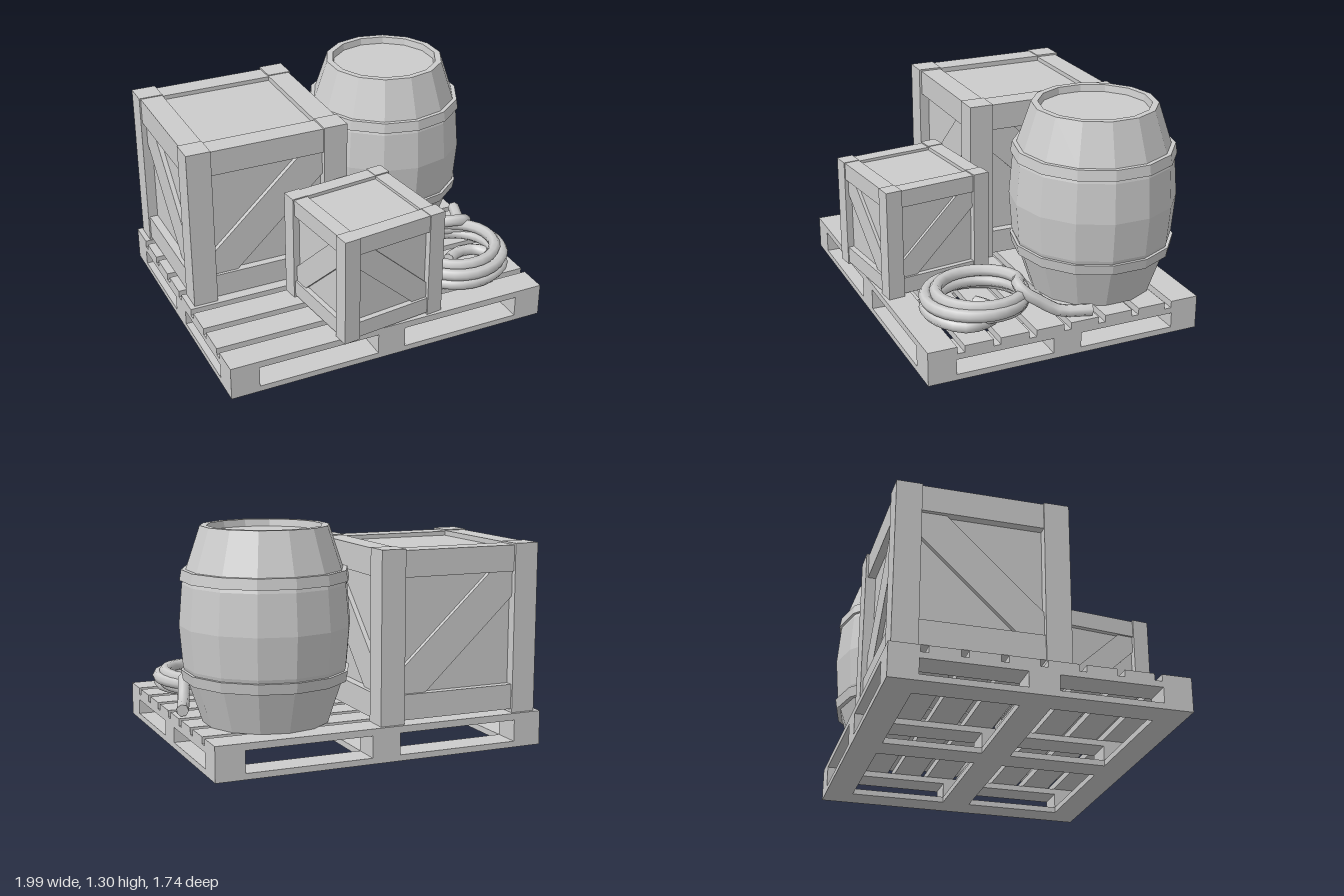
import * as THREE from 'three';

const mat = new THREE.MeshStandardMaterial({ color: 0xcccccc, flatShading: true });
const smooth = new THREE.MeshStandardMaterial({ color: 0xcccccc, side: THREE.DoubleSide });

function add(parent, name, geometry, x = 0, y = 0, z = 0, material = mat) {
  const mesh = new THREE.Mesh(geometry, material);
  mesh.name = name;
  mesh.position.set(x, y, z);
  parent.add(mesh);
  return mesh;
}

// Box given by its lower and upper corner
function box(parent, name, [x0, y0, z0], [x1, y1, z1]) {
  return add(parent, name, new THREE.BoxGeometry(x1 - x0, y1 - y0, z1 - z0),
    (x0 + x1) / 2, (y0 + y1) / 2, (z0 + z1) / 2);
}

function makePallet() {
  const g = new THREE.Group();
  g.name = 'pallet';
  const xs = [[-1, -0.83], [-0.1, 0.07], [0.81, 0.98]];
  const zs = [[-0.845, -0.68], [-0.1, 0.07], [0.65, 0.815]];

  // Bottom boards form a frame with a cross
  const base = new THREE.Shape([[-1, -0.815], [0.98, -0.815], [0.98, 0.845], [-1, 0.845]]
    .map(([x, y]) => new THREE.Vector2(x, y)));
  for (let i = 0; i < 2; i++) for (let j = 0; j < 2; j++) {
    const [x0, x1, z0, z1] = [xs[i][1], xs[i + 1][0], zs[j][1], zs[j + 1][0]];
    base.holes.push(new THREE.Path([[x0, -z0], [x1, -z0], [x1, -z1], [x0, -z1]]
      .map(([x, y]) => new THREE.Vector2(x, y))));
  }
  add(g, 'bottomBoards', new THREE.ExtrudeGeometry(base, { depth: 0.035, bevelEnabled: false }))
    .rotation.x = -Math.PI / 2;

  // Blocks and the stringers above them
  for (const [x0, x1] of xs) {
    for (const [z0, z1] of zs) box(g, 'block', [x0, 0.035, z0], [x1, 0.125, z1]);
    box(g, 'stringer', [x0, 0.125, -0.845], [x1, 0.16, 0.815]);
  }
  // Top slats
  for (let i = 0; i < 8; i++) {
    const z = -0.845 + i * 0.2129;
    box(g, 'topSlat', [-1, 0.16, z], [0.98, 0.2, z + 0.17]);
  }
  return g;
}

function makeCrate(name) {
  const g = new THREE.Group();
  g.name = name;
  const H = 0.49, inner = 0.345, core = 0.43;
  box(g, 'panels', [-core, 0.03, -core], [core, 0.945, core]);

  for (let i = 0; i < 4; i++) {
    const face = new THREE.Group();
    face.name = 'crateSide';
    face.rotation.y = i * Math.PI / 2;
    g.add(face);
    const out = i % 2 ? 0.481 : 0.476, top = i % 2 ? 0.975 : 0.97;
    // Corner post and the two rails of this side
    box(face, 'post', [inner, 0, inner], [H, 0.98, H]);
    box(face, 'bottomRail', [-inner, 0.02, inner], [inner, 0.165, out]);
    box(face, 'topRail', [-inner, 0.82, inner], [inner, top, out]);
    // Diagonal brace cut to the opening, mirrored on alternate sides
    const s = i % 2 ? -1 : 1, d = 0.145, b = 0.165, t = 0.82;
    const brace = new THREE.Shape([
      [-inner, b], [-inner + d, b], [inner, t - d], [inner, t], [inner - d, t], [-inner, b + d],
    ].map(([x, y]) => new THREE.Vector2(x * s, y)));
    add(face, 'brace', new THREE.ExtrudeGeometry(brace, { depth: 0.03, bevelEnabled: false }), 0, 0, core - 0.002);
  }
  return g;
}

function makeBarrel() {
  const g = new THREE.Group();
  g.name = 'barrel';
  const lathe = pts => new THREE.LatheGeometry(pts.map(([r, y]) => new THREE.Vector2(r, y)), 14);
  // Staves, rim and recessed lid in one profile
  add(g, 'barrelBody', lathe([
    [0, 0], [0.36, 0], [0.44, 0.24], [0.463, 0.32], [0.482, 0.55], [0.463, 0.78],
    [0.44, 0.86], [0.36, 1.1], [0.322, 1.1], [0.315, 1.06], [0, 1.06],
  ]));
  // Hoops
  for (const s of [-1, 1]) {
    const pts = [[0.44, 0.23], [0.474, 0.25], [0.465, 0.31], [0.435, 0.313]]
      .map(([r, y]) => [r, s < 0 ? 0.55 - y : y - 0.55]);
    const hoop = s < 0
      ? [[0.44, 0.24], [0.465, 0.24], [0.475, 0.3], [0.45, 0.3]]
      : [[0.45, 0.8], [0.475, 0.8], [0.465, 0.86], [0.43, 0.86]];
    add(g, 'hoop', lathe(hoop));
  }
  return g;
}

function makeRope() {
  const g = new THREE.Group();
  g.name = 'rope';
  const R = 0.036;
  const pts = [new THREE.Vector3(0.6, 0.24, 0.38), new THREE.Vector3(0.69, 0.24, 0.33), new THREE.Vector3(0.8, 0.24, 0.34)];
  // Coil rising from the floor, alternating between a narrow and a wide ring
  const step = Math.PI / 6, n = 45;
  for (let i = 1; i <= n; i++) {
    const a = i * step, k = i / n;
    const r = 0.262 + 0.03 * Math.sin(a * 0.5 + 0.6);
    pts.push(new THREE.Vector3(0.635 + r * Math.cos(a), 0.237 + 0.115 * k + 0.012 * Math.cos(a), 0.385 + r * Math.sin(a)));
  }
  // Loose tail dropping to the pallet
  for (const p of [[0.73, 0.375, 0.18], [0.82, 0.36, 0.18], [0.86, 0.3, 0.09], [0.89, 0.245, 0], [0.95, 0.238, -0.18]])
    pts.push(new THREE.Vector3(...p));
  const curve = new THREE.CatmullRomCurve3(pts);
  add(g, 'ropeCoil', new THREE.TubeGeometry(curve, 110, R, 7), 0, 0, 0, smooth);
  // End caps
  for (const t of [0, 1]) {
    const p = curve.getPointAt(t);
    const cap = add(g, 'ropeEnd', new THREE.CircleGeometry(R, 7), p.x, p.y, p.z, smooth);
    cap.lookAt(p.clone().addScaledVector(curve.getTangentAt(t), t ? 1 : -1));
  }
  return g;
}

export function createModel() {
  const model = new THREE.Group();
  model.name = 'loadedPallet';
  model.add(makePallet());

  const large = makeCrate('largeCrate');
  large.position.set(-0.478, 0.2, -0.335);

  const small = makeCrate('smallCrate');
  small.scale.setScalar(0.67);
  small.position.set(-0.05, 0.2, 0.503);
  small.rotation.y = Math.PI / 2 + 0.118;

  const barrel = makeBarrel();
  barrel.position.set(0.522, 0.2, -0.39);

  model.add(large, small, barrel, makeRope());
  return model;
}
